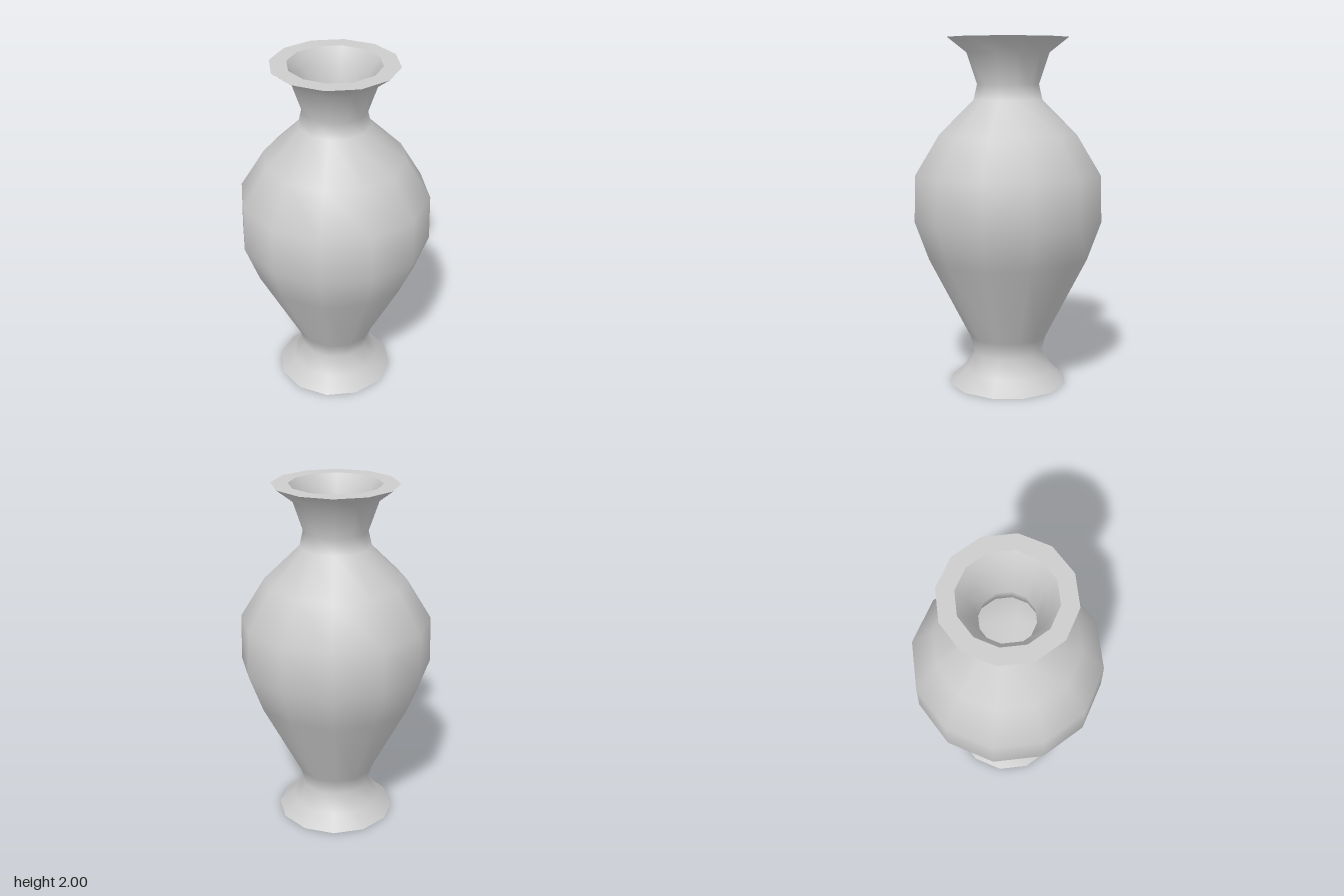
import * as THREE from 'three';

const SIDES = 12;

export function createModel() {
  const vase = new THREE.Group();
  vase.name = 'vase';
  const clay = new THREE.MeshStandardMaterial({ color: 0xcccccc });
  clay.name = 'pale grey clay';

  // Each part is turned from its own [radius, height] profile, so edges between parts stay sharp
  const turn = (name, profile) => {
    const points = profile.map(([r, y]) => new THREE.Vector2(r, y));
    const mesh = new THREE.Mesh(new THREE.LatheGeometry(points, SIDES), clay);
    mesh.name = name;
    vase.add(mesh);
  };

  // Flat underside of the foot
  turn('base', [[0, 0], [0.345, 0]]);

  // Flared foot, belly, shoulder, neck and flared lip
  turn('outerWall', [
    [0.345, 0], [0.26, 0.08], [0.2, 0.18], [0.225, 0.28],
    [0.465, 0.75], [0.545, 0.97], [0.538, 1.235], [0.4, 1.46],
    [0.2, 1.655], [0.18, 1.74], [0.24, 1.915], [0.35, 2],
  ]);

  // Flat ring round the mouth
  turn('rim', [[0.35, 2], [0.257, 2]]);

  // Hollow inside, from the mouth down to the floor
  turn('innerWall', [
    [0.257, 2], [0.205, 1.92], [0.15, 1.75], [0.17, 1.64],
    [0.36, 1.44], [0.49, 1.22], [0.495, 0.98], [0.42, 0.77], [0.18, 0.3],
  ]);
  turn('floor', [[0.18, 0.3], [0, 0.3]]);

  return vase;
}
